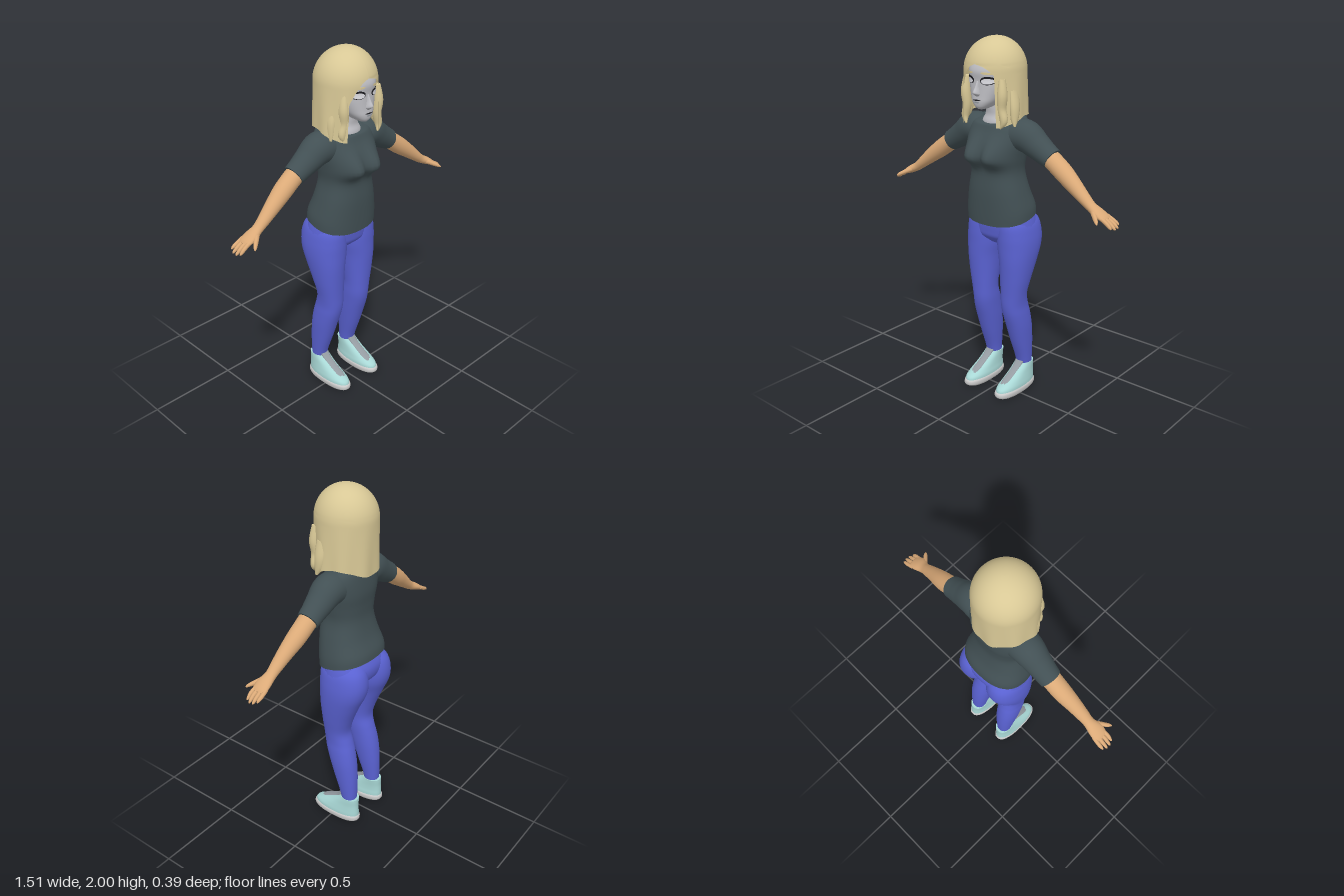
import * as THREE from 'three';

const mat = (name, color, side = THREE.FrontSide) => {
  const m = new THREE.MeshStandardMaterial({ color, side });
  m.name = name;
  return m;
};
const M = {
  hair: mat('blond hair', 0xd8c896, THREE.DoubleSide),
  shirt: mat('dark slate shirt', 0x425054),
  jeans: mat('blue jeans', 0x5a62d2),
  skin: mat('tan skin', 0xdbaa78),
  face: mat('pale grey face', 0xbebec3),
  shoe: mat('light teal shoe', 0xa9d8d6),
  sole: mat('light grey sole', 0xcacaca),
  tongue: mat('grey tongue', 0x959ca2),
  dark: mat('black line', 0x1d1d22),
  eye: mat('eye white', 0xe6e6ec),
};
const V = (x, y, z) => new THREE.Vector3(x, y, z);

// Surface from a grid of points; wrap joins the last column to the first
function grid(rows, wrap) {
  const n = rows[0].length, pos = [], idx = [];
  rows.forEach(r => r.forEach(p => pos.push(p.x, p.y, p.z)));
  for (let i = 0; i < rows.length - 1; i++) {
    for (let j = 0; j < (wrap ? n : n - 1); j++) {
      const a = i * n + j, b = i * n + (j + 1) % n;
      idx.push(a, b, a + n, b, b + n, a + n);
    }
  }
  const g = new THREE.BufferGeometry();
  g.setAttribute('position', new THREE.Float32BufferAttribute(pos, 3));
  g.setIndex(idx);
  g.computeVertexNormals();
  return g;
}

// Catmull-Rom blend of section rows
function smooth(rows, steps = 5) {
  const out = [], last = rows.length - 1;
  for (let i = 0; i < last; i++) {
    const [a, b, c, d] = [rows[Math.max(i - 1, 0)], rows[i], rows[i + 1], rows[Math.min(i + 2, last)]];
    for (let k = 0; k < steps; k++) {
      const t = k / steps;
      out.push(b.map((v, q) => v + 0.5 * t * (c[q] - a[q] + t * (2 * a[q] - 5 * v + 4 * c[q] - d[q]
        + t * (3 * (v - c[q]) + d[q] - a[q])))));
    }
  }
  out.push(rows[last]);
  return out;
}

// Closed skin over rings, with crisp end caps
function skinRings(rings) {
  const mid = r => {
    const c = r.reduce((s, p) => s.add(p), V(0, 0, 0)).divideScalar(r.length);
    return r.map(() => c);
  };
  const a = rings[0], b = rings[rings.length - 1];
  return grid([mid(a), a, ...rings, b, mid(b)], true);
}
const pw = (v, p) => Math.sign(v) * Math.abs(v) ** (2 / p);

// Sections going up: [y, halfWidth, zFront, zBack, x, tilt]
function stack(rows, p = 2.2, seg = 32, warp) {
  return skinRings(smooth(rows.map(r => [...r, 0, 0].slice(0, 6))).map(([y, w, zf, zb, x, tilt]) =>
    Array.from({ length: seg }, (_, j) => {
      const a = j / seg * Math.PI * 2;
      const z = (zf + zb) / 2 + (zf - zb) / 2 * pw(Math.sin(a), p);
      const v = V(x - w * pw(Math.cos(a), p), y + tilt * z, z);
      if (warp) warp(v);
      return v;
    })));
}

// Sections along a path: [x, y, z, radius in the xy plane, radius in z]
function limb(rows, seg = 20) {
  const s = smooth(rows);
  return skinRings(s.map(([x, y, z, rn, rz], i) => {
    const a = s[Math.max(i - 1, 0)], b = s[Math.min(i + 1, s.length - 1)];
    const t = V(b[0] - a[0], b[1] - a[1], 0).normalize();
    return Array.from({ length: seg }, (_, j) => {
      const q = j / seg * Math.PI * 2, c = Math.cos(q) * rn;
      return V(x - t.y * c, y + t.x * c, z + Math.sin(q) * rz);
    });
  }));
}

function mirrored(geo) {
  const g = geo.clone().scale(-1, 1, 1), ix = g.index.array;
  for (let i = 0; i < ix.length; i += 3) [ix[i], ix[i + 1]] = [ix[i + 1], ix[i]];
  g.computeVertexNormals();
  return g;
}

export function createModel() {
  const root = new THREE.Group();
  root.name = 'woman';
  const add = (name, geo, m) => {
    const mesh = new THREE.Mesh(geo, m);
    mesh.name = name;
    root.add(mesh);
    return mesh;
  };
  const pair = (name, geo, m) => {
    add(name + 'Left', geo, m);
    add(name + 'Right', mirrored(geo), m);
  };

  // Shirt, with the bust pushed forward
  add('shirt', stack([
    [1.04, 0.193, 0.118, -0.18, 0, -0.23], [1.1, 0.19, 0.122, -0.172, 0, -0.15],
    [1.2, 0.168, 0.126, -0.14, 0, -0.04], [1.3, 0.146, 0.122, -0.12], [1.38, 0.156, 0.13, -0.122],
    [1.46, 0.17, 0.122, -0.13], [1.53, 0.172, 0.1, -0.125, 0, -0.1],
    [1.57, 0.145, 0.09, -0.115, 0, -0.25], [1.588, 0.09, 0.085, -0.095, 0, -0.4],
  ], 2.4, 48, v => {
    if (v.z <= 0) return;
    const dy = (v.y - 1.385) / (v.y > 1.385 ? 0.085 : 0.045), dx = (Math.abs(v.x) - 0.065) / 0.065;
    v.z += 0.065 * Math.exp(-dy * dy - dx * dx) * Math.min(1, v.z / 0.08);
  }), M.shirt);
  pair('sleeve', limb([
    [0.07, 1.49, -0.01, 0.08, 0.085], [0.17, 1.503, -0.01, 0.086, 0.085], [0.25, 1.46, -0.012, 0.072, 0.072],
    [0.3, 1.43, -0.013, 0.063, 0.064], [0.345, 1.404, -0.014, 0.057, 0.059],
  ], 28), M.shirt);

  // Arms and hands
  pair('arm', limb([
    [0.3, 1.43, -0.013, 0.05, 0.052], [0.36, 1.392, -0.012, 0.049, 0.051], [0.43, 1.343, -0.008, 0.048, 0.049],
    [0.5, 1.292, 0, 0.04, 0.041], [0.56, 1.246, 0.006, 0.031, 0.034], [0.605, 1.213, 0.009, 0.025, 0.03],
    [0.65, 1.19, 0.012, 0.022, 0.041], [0.685, 1.172, 0.01, 0.016, 0.041], [0.7, 1.164, 0.01, 0.01, 0.034],
  ], 24), M.skin);
  [[-0.025, 0.745, 1.14], [-0.003, 0.755, 1.13], [0.02, 0.755, 1.127], [0.041, 0.745, 1.132]].forEach(([z, x, y], i) =>
    pair('finger' + (i + 1), limb([
      [0.675, 1.177, z * 0.9, 0.011, 0.011], [0.715, 1.157, z, 0.0105, 0.0105],
      [x - 0.01, y + 0.008, z, 0.008, 0.008], [x, y, z, 0.003, 0.003],
    ], 10), M.skin));
  pair('thumb', limb([
    [0.625, 1.2, 0.025, 0.016, 0.02], [0.655, 1.183, 0.055, 0.013, 0.016],
    [0.682, 1.168, 0.08, 0.01, 0.012], [0.695, 1.158, 0.092, 0.003, 0.004],
  ], 12), M.skin);

  // Jeans
  add('jeansHips', stack([
    [0.89, 0.06, 0.03, -0.08], [0.93, 0.165, 0.073, -0.145], [0.97, 0.197, 0.083, -0.172],
    [1.03, 0.19, 0.088, -0.175], [1.1, 0.17, 0.09, -0.14],
  ], 2.4), M.jeans);
  pair('jeansLeg', stack([
    [0.14, 0.041, -0.055, -0.14, 0.112], [0.2, 0.046, -0.04, -0.142, 0.112], [0.3, 0.056, -0.005, -0.141, 0.11],
    [0.4, 0.064, 0.027, -0.132, 0.108], [0.48, 0.066, 0.052, -0.117, 0.105], [0.54, 0.066, 0.063, -0.1, 0.102],
    [0.61, 0.069, 0.067, -0.084, 0.105], [0.7, 0.08, 0.073, -0.108, 0.11], [0.8, 0.092, 0.08, -0.15, 0.112],
    [0.88, 0.103, 0.083, -0.185, 0.107], [0.95, 0.102, 0.085, -0.195, 0.104], [1.02, 0.09, 0.08, -0.18, 0.1],
    [1.07, 0.06, 0.05, -0.14, 0.09],
  ], 2.2), M.jeans);

  // Shoes
  pair('sole', stack([
    [0, 0.05, 0.125, -0.15, 0.115], [0.012, 0.058, 0.145, -0.164, 0.115],
    [0.032, 0.06, 0.146, -0.165, 0.115], [0.043, 0.055, 0.135, -0.158, 0.115],
  ], 2.4), M.sole);
  pair('shoeUpper', stack([
    [0.03, 0.056, 0.14, -0.16, 0.115], [0.055, 0.056, 0.133, -0.16, 0.115], [0.08, 0.052, 0.092, -0.158, 0.115],
    [0.11, 0.048, 0.032, -0.156, 0.114], [0.14, 0.046, -0.02, -0.156, 0.113], [0.158, 0.045, -0.045, -0.155, 0.112],
  ], 2.3), M.shoe);
  pair('shoeTongue', stack([
    [0.075, 0.022, 0.1, 0.03, 0.112], [0.09, 0.025, 0.075, 0, 0.112], [0.11, 0.024, 0.038, -0.04, 0.112],
    [0.14, 0.024, -0.014, -0.07, 0.112], [0.172, 0.026, -0.048, -0.08, 0.112],
  ], 3.5, 24), M.tongue);

  // Neck and head
  add('neck', stack([
    [1.5, 0.1, 0.07, -0.09], [1.56, 0.088, 0.076, -0.085], [1.6, 0.066, 0.066, -0.075],
    [1.64, 0.056, 0.068, -0.065], [1.72, 0.056, 0.07, -0.06],
  ]), M.face);
  const head = add('head', stack([
    [1.642, 0.018, 0.15, 0.09], [1.655, 0.04, 0.163, 0.05], [1.68, 0.064, 0.168, 0.01], [1.71, 0.083, 0.166, -0.04],
    [1.75, 0.099, 0.164, -0.08], [1.79, 0.106, 0.163, -0.1], [1.84, 0.11, 0.165, -0.1],
    [1.9, 0.1, 0.13, -0.08], [1.95, 0.06, 0.07, -0.04],
  ], 2.5, 48), M.face);
  add('nose', stack([
    [1.708, 0.008, 0.17, 0.14], [1.718, 0.018, 0.184, 0.13], [1.73, 0.016, 0.196, 0.13],
    [1.755, 0.01, 0.182, 0.13], [1.785, 0.008, 0.167, 0.13],
  ], 2, 16), M.face);

  // Thin facial details laid on the head surface
  const ray = new THREE.Raycaster();
  const onFace = (x, y, w, h, turn, lift) => {
    const g = new THREE.RingGeometry(0.001, 1, 28, 4).scale(w, h, 1).rotateZ(turn).translate(x, y, 0);
    const p = g.attributes.position;
    for (let i = 0; i < p.count; i++) {
      ray.set(V(p.getX(i), p.getY(i), 1), V(0, 0, -1));
      const hit = ray.intersectObject(head)[0];
      p.setZ(i, (hit ? hit.point.z : 0.1) + lift);
    }
    g.computeVertexNormals();
    return g;
  };
  pair('eyeOutline', onFace(0.057, 1.79, 0.037, 0.021, 0.06, 0.003), M.dark);
  pair('eye', onFace(0.057, 1.787, 0.03, 0.0145, 0.06, 0.006), M.eye);
  pair('eyebrow', onFace(0.058, 1.826, 0.033, 0.006, -0.05, 0.004), M.hair);
  add('mouth', onFace(0, 1.69, 0.026, 0.0035, 0, 0.004), M.dark);
  add('lowerLip', onFace(0, 1.679, 0.016, 0.004, 0, 0.004), M.tongue);

  // Hair shell, parted around the face with a higher hairline on the left
  const hairRows = [], cols = 80, levels = 48;
  const gap = (y, low) => 0.66 * Math.sqrt(THREE.MathUtils.clamp((1.868 - y) / (1.868 - low), 0, 1));
  for (let i = 0; i <= levels; i++) {
    const t = Math.sin(i / levels * Math.PI / 2), row = [];
    for (let j = 0; j <= cols; j++) {
      const u = j / cols;
      const bottom = 1.555 + 0.05 * Math.sin(u * Math.PI * 2) ** 2;
      const y = bottom + (2 - bottom) * t;
      const g0 = gap(y, 1.82), a = g0 + u * (Math.PI * 2 - g0 - gap(y, 1.75));
      const dome = y > 1.83 ? Math.sqrt(Math.max(0, 1 - ((y - 1.83) / 0.17) ** 2)) : 1;
      const low = THREE.MathUtils.clamp((1.83 - y) / 0.27, 0, 1);
      const r = dome * (1 + 0.025 * low * Math.cos(a * 9));
      row.push(V(-0.008 * dome + Math.sin(a) * r * (0.163 + 0.012 * low), y,
        0.013 + Math.cos(a) * r * (0.165 - 0.012 * low * Math.max(0, Math.cos(a)))));
    }
    hairRows.push(row);
  }
  add('hair', grid(hairRows, false), M.hair);

  // Loose locks beside the face
  pair('frontLock', limb([
    [0.118, 1.8, 0.11, 0.015, 0.02], [0.122, 1.72, 0.115, 0.026, 0.028], [0.118, 1.65, 0.112, 0.022, 0.025],
    [0.13, 1.59, 0.112, 0.02, 0.02], [0.115, 1.552, 0.122, 0.004, 0.005],
  ], 14), M.hair);
  pair('sideLock', limb([
    [0.145, 1.74, 0.05, 0.012, 0.03], [0.155, 1.66, 0.055, 0.02, 0.032],
    [0.158, 1.6, 0.06, 0.018, 0.024], [0.168, 1.56, 0.07, 0.004, 0.006],
  ], 14), M.hair);
  return root;
}
